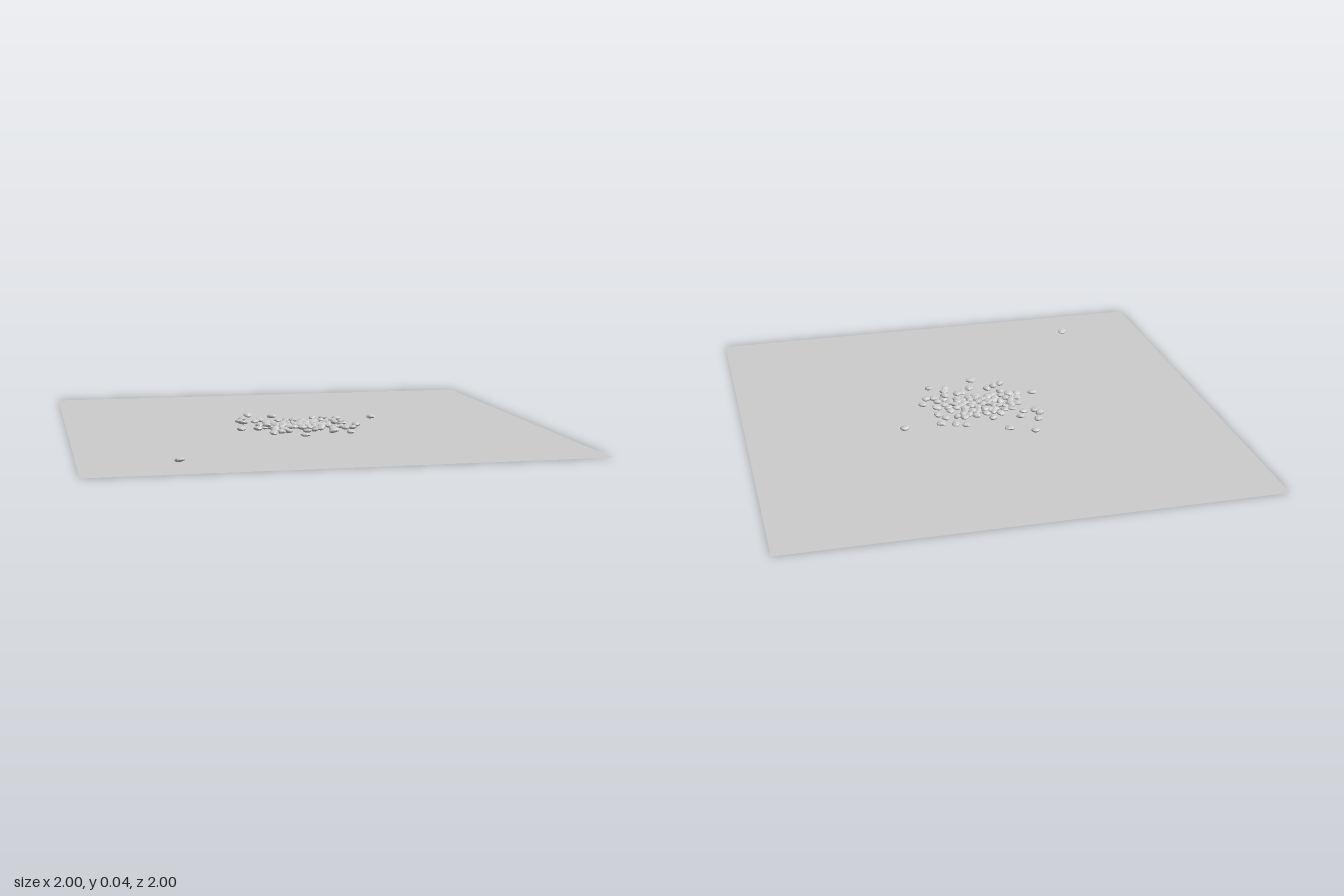
import * as THREE from 'three';

// Small seeded generator for repeatable variation
function seeded(seed) {
  return () => {
    seed = (seed * 1664525 + 1013904223) % 4294967296;
    return seed / 4294967296;
  };
}

// Lumpy faceted pebble of unit radius; coincident corners move together
function pebbleGeometry(k) {
  const g = new THREE.IcosahedronGeometry(1, 1);
  const p = g.attributes.position;
  const v = new THREE.Vector3();
  for (let i = 0; i < p.count; i++) {
    v.fromBufferAttribute(p, i);
    const lump = 1 + 0.13 * Math.sin(3.1 * v.x + 1.7 * k) * Math.cos(2.7 * v.z - k) + 0.1 * Math.sin(2.3 * v.y + 2 * v.x + 2.9 * k);
    v.multiplyScalar(lump);
    p.setXYZ(i, v.x, v.y, v.z);
  }
  g.computeVertexNormals();
  return g;
}

export function createModel() {
  const model = new THREE.Group();
  const groundGrey = new THREE.MeshStandardMaterial({ color: 0xcccccc, side: THREE.DoubleSide });
  groundGrey.name = 'stone grey';
  const rand = seeded(17);

  // Flat square of ground
  const ground = new THREE.Mesh(new THREE.PlaneGeometry(2, 2).rotateX(-Math.PI / 2), groundGrey);
  ground.name = 'ground';
  model.add(ground);

  // Scattered outer pebbles: x, z
  const spots = [
    [-0.19, -0.26], [-0.09, -0.21], [-0.23, -0.155], [-0.165, -0.11], [-0.255, -0.09], [-0.245, -0.06],
    [-0.19, -0.065], [0.08, -0.135], [0.12, -0.12], [0.18, -0.1], [0.34, -0.11], [-0.05, -0.09],
    [-0.09, -0.06], [0.07, -0.06], [0.1, -0.05], [0.15, -0.05], [0.175, -0.01], [-0.28, 0.12],
    [0.22, 0.1], [0.19, 0.16], [0.155, 0.27], [0.085, 0.245], [0.1, 0.215], [-0.045, 0.31],
    [-0.02, 0.225], [-0.165, 0.245], [-0.13, 0.225], [-0.095, 0.205], [-0.145, 0.165], [0.02, 0.19],
    [0.045, 0.18], [0.1, 0.17], [0.12, 0.14], [0.15, 0.12], [0.165, 0.06], [-0.62, 0.78],
    [-0.21, 0.12], [-0.2, 0.09], [-0.18, 0.105], [-0.17, 0.07], [0.16, 0.16], [0.1, 0.1],
  ];

  // Dense middle of the pile, kept slightly apart
  for (let tries = 0; spots.length < 92 && tries < 4000; tries++) {
    const a = rand() * Math.PI * 2, r = Math.sqrt(rand());
    const x = -0.03 + 0.165 * r * Math.cos(a), z = 0.045 + 0.105 * r * Math.sin(a);
    if (spots.every(([sx, sz]) => Math.hypot(sx - x, sz - z) > 0.024)) spots.push([x, z]);
  }

  const shapes = [0, 1, 2, 3, 4, 5].map(pebbleGeometry);
  const pebbles = new THREE.Group();
  pebbles.name = 'pebbles';
  const addPebble = (x, y, z, i) => {
    const pebble = new THREE.Mesh(shapes[i % shapes.length], groundGrey);
    pebble.name = 'pebble';
    pebble.scale.set(0.016 + 0.004 * rand(), 0.008 + 0.002 * rand(), 0.018 + 0.004 * rand());
    pebble.rotation.set((rand() - 0.5) * 0.3, rand() * Math.PI * 2, (rand() - 0.5) * 0.3);
    pebble.position.set(x, y, z);
    pebbles.add(pebble);
  };
  spots.forEach(([x, z], i) => addPebble(x, 0.011 + 0.003 * rand(), z, i));

  // A few stones resting on top of others
  [[0.115, 0.032, 0.135], [-0.17, 0.024, 0.11], [-0.03, 0.022, -0.02]].forEach(([x, y, z], i) => addPebble(x, y, z, i + 2));
  model.add(pebbles);
  return model;
}
